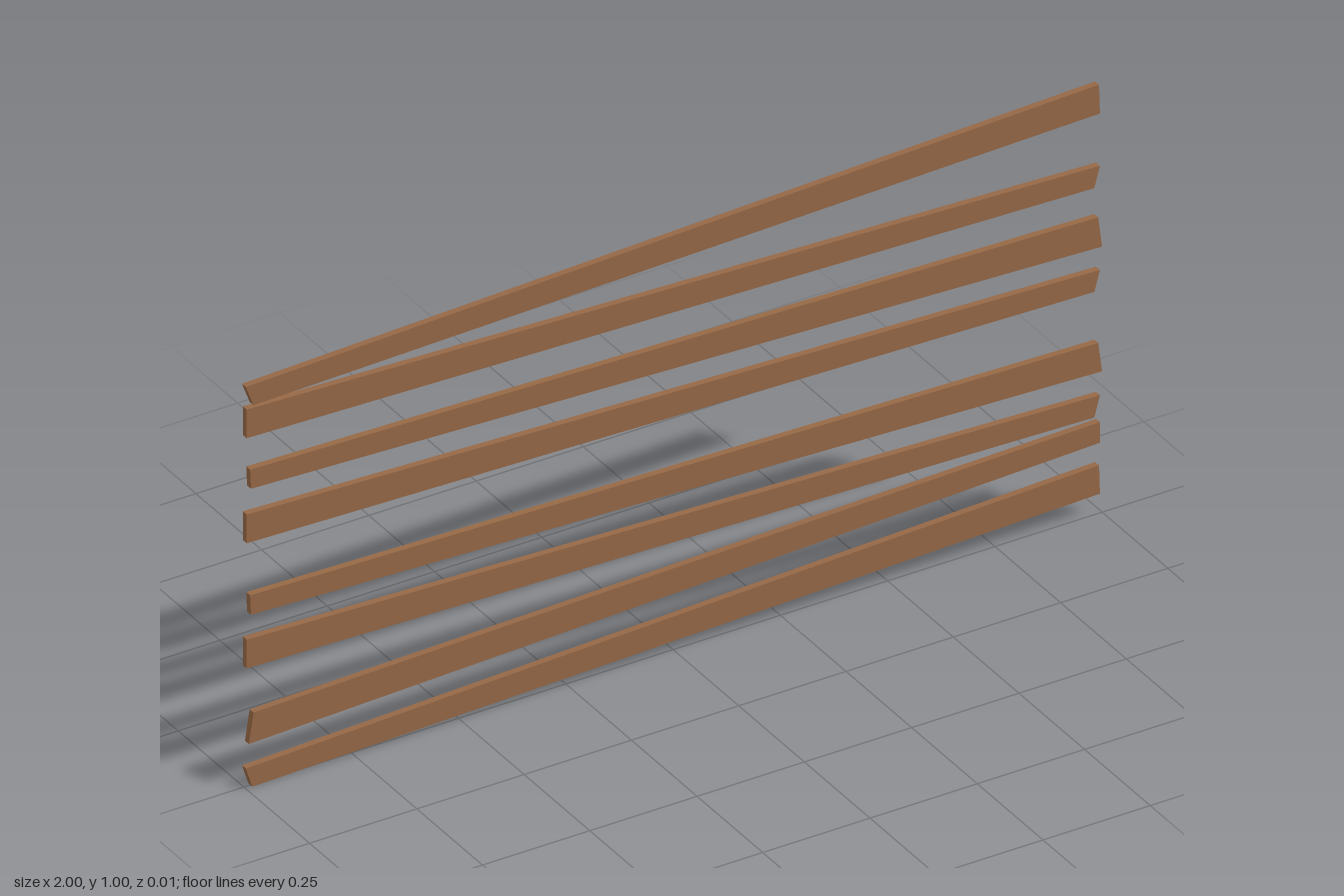
import * as THREE from 'three';

const DEPTH = 0.015;

// Each plank: left-top, left-bottom, right-bottom, right-top corners as x, y
const PLANKS = [
  [-1, 0.05, -0.985, 0.003, 0.99, 0.053, 0.988, 0.12],
  [-0.982, 0.175, -0.993, 0.105, 0.99, 0.172, 0.99, 0.22],
  [-0.998, 0.35, -0.998, 0.283, 0.977, 0.235, 0.99, 0.283],
  [-0.99, 0.451, -0.988, 0.405, 0.995, 0.337, 0.986, 0.406],
  [-0.998, 0.642, -0.998, 0.575, 0.977, 0.528, 0.99, 0.575],
  [-0.99, 0.744, -0.988, 0.699, 0.995, 0.628, 0.986, 0.699],
  [-0.998, 0.887, -0.998, 0.82, 0.977, 0.77, 0.99, 0.818],
  [-1, 0.94, -0.982, 0.892, 0.99, 0.94, 0.988, 1.008],
];

// Flat board cut to a four-cornered outline and centred on z
function makePlank(c, material) {
  const outline = new THREE.Shape();
  outline.moveTo(c[0], c[1]);
  for (let i = 2; i < 8; i += 2) outline.lineTo(c[i], c[i + 1]);
  outline.closePath();
  const geometry = new THREE.ExtrudeGeometry(outline, { depth: DEPTH, bevelEnabled: false });
  geometry.translate(0, 0, -DEPTH / 2);
  return new THREE.Mesh(geometry, material);
}

export function createModel() {
  const group = new THREE.Group();
  group.name = 'plankBarricade';
  const wood = new THREE.MeshStandardMaterial({ color: 0x966846 });
  wood.name = 'brownWood';
  PLANKS.forEach((corners, i) => {
    const plank = makePlank(corners, wood);
    plank.name = `plank${i + 1}`;
    group.add(plank);
  });
  return group;
}
